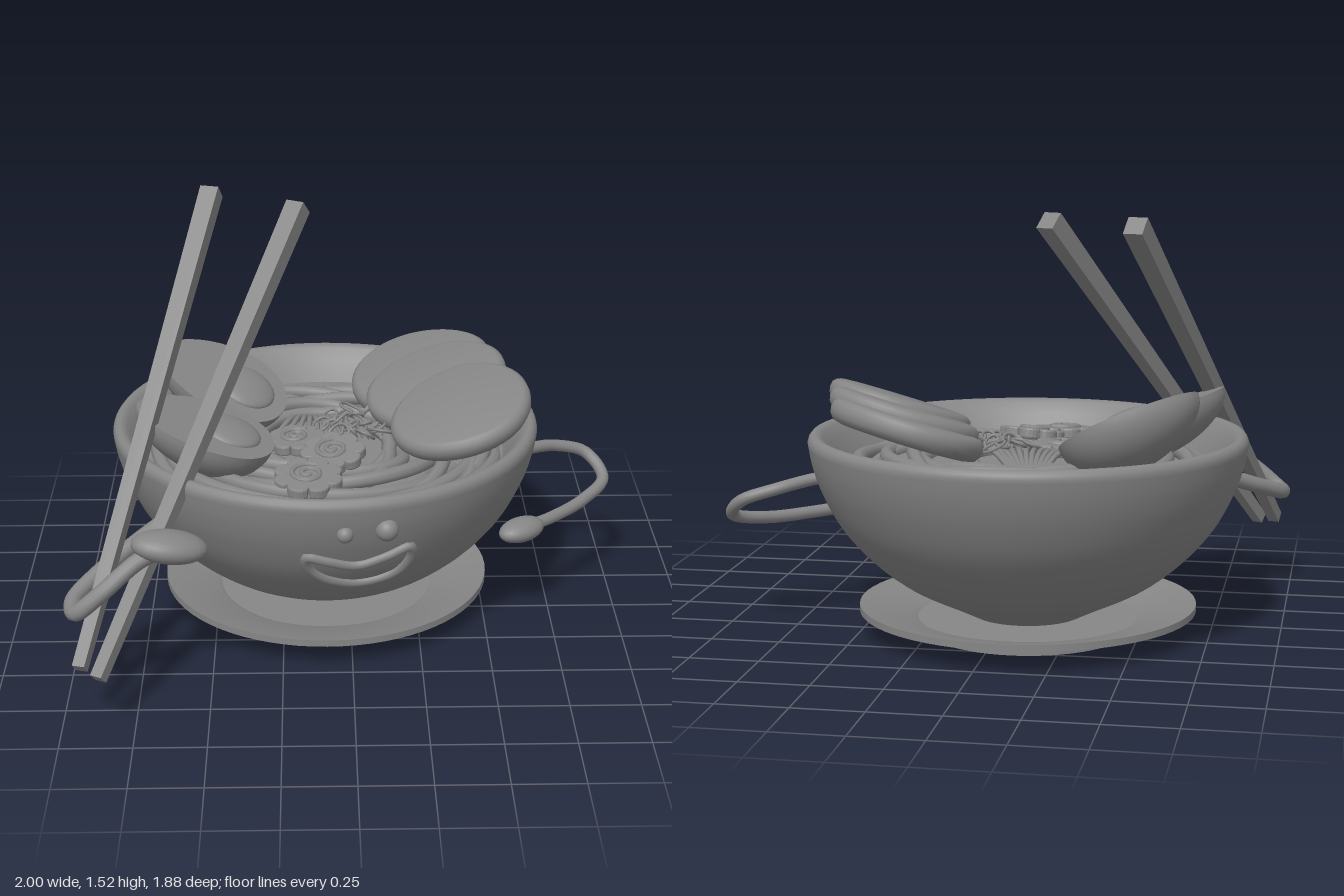
import * as THREE from 'three';
import { toCreasedNormals } from 'three/addons/utils/BufferGeometryUtils.js';

const V = (x, y, z) => new THREE.Vector3(x, y, z);
const UP = V(0, 1, 0);
const CX = -0.09, CZ = -0.155; // axis of the bowl and plate
const SOUP_Y = 0.6;

// Outer wall of the bowl, as [radius, height] from the foot to the rim
const WALL = [[0.2, 0.06], [0.28, 0.1], [0.44, 0.18], [0.57, 0.28], [0.675, 0.4],
  [0.74, 0.52], [0.775, 0.62], [0.79, 0.7]];
const wallPoints = new THREE.SplineCurve(WALL.map(p => new THREE.Vector2(...p))).getPoints(28);

function wallRadius(y) {
  const i = Math.max(1, wallPoints.findIndex(p => p.y >= y));
  const a = wallPoints[i - 1], b = wallPoints[i];
  return a.x + (b.x - a.x) * (y - a.y) / (b.y - a.y);
}

export function createModel() {
  const model = new THREE.Group();
  const grey = new THREE.MeshStandardMaterial({ color: 0x868686 });
  const thin = new THREE.MeshStandardMaterial({ color: 0x868686, side: THREE.DoubleSide });
  let seed = 7;
  const rand = (a, b) => {
    seed = (seed * 16807) % 2147483647;
    return a + (b - a) * seed / 2147483647;
  };

  function add(name, geometry, position, parent = model, material = grey) {
    const mesh = new THREE.Mesh(geometry, material);
    mesh.name = name;
    if (position) mesh.position.copy(position);
    parent.add(mesh);
    return mesh;
  }
  function group(name, position, parent = model) {
    const g = new THREE.Group();
    g.name = name;
    if (position) g.position.copy(position);
    parent.add(g);
    return g;
  }
  function tube(name, points, radius, parent, { closed = false, segments = 40, sides = 8 } = {}) {
    const curve = new THREE.CatmullRomCurve3(points, closed);
    return add(name, new THREE.TubeGeometry(curve, segments, radius, sides, closed), null, parent, thin);
  }
  const lathe = (pts, crease) =>
    toCreasedNormals(new THREE.LatheGeometry(pts.map(p => p.isVector2 ? p : new THREE.Vector2(...p)), 72), crease);

  // Plate with a flat foot and a shallow well
  add('plate', lathe([[0, 0], [0.375, 0], [0.375, 0.02], [0.61, 0.08], [0.61, 0.105],
    [0.42, 0.062], [0.4, 0.05], [0, 0.05]], 0.35), V(CX, 0, CZ));

  // Bowl: outer wall, softly rounded rim, sloping inner wall
  add('bowl', lathe([[0, 0.06], ...wallPoints, [0.786, 0.715], [0.777, 0.727], [0.765, 0.731], [0.752, 0.728],
    [0.738, 0.718], [0.71, 0.68], [0.68, 0.63], [0.64, 0.55], [0, 0.55]], 0.8), V(CX, 0, CZ));
  add('soup', new THREE.CircleGeometry(0.67, 64).rotateX(-Math.PI / 2), V(CX, SOUP_Y, CZ));

  // Noodles: long loose arcs swirling round the bowl
  const noodles = group('noodles', V(CX, 0, CZ));
  for (let i = 0; i < 24; i++) {
    const r0 = 0.635 - 0.4 * (i / 24), start = i * 2.4, sweep = rand(1.6, 3.4);
    const drift = rand(-0.13, 0.06), lift = rand(0.0, 0.04);
    const pts = [];
    for (let k = 0; k <= 8; k++) {
      const t = k / 8, a = start + sweep * t;
      const r = Math.min(0.635, r0 + drift * Math.sin(t * Math.PI * 1.5));
      pts.push(V(r * Math.cos(a), SOUP_Y - 0.02 + (lift + 0.025) * Math.sin(t * Math.PI), r * Math.sin(a)));
    }
    tube('noodle', pts, 0.027, noodles, { segments: 36, sides: 8 });
  }

  // Fan of thin shoots in the middle
  const shoots = group('shoots');
  for (let i = 0; i < 11; i++) {
    const s = (i - 5) / 5;
    tube('shoot', [V(-0.13 + 0.05 * s, 0.62, -0.4), V(-0.1 + 0.12 * s, 0.67, -0.26),
      V(-0.08 + 0.2 * s, 0.65, -0.08 - 0.05 * Math.abs(s))], 0.011, shoots, { segments: 12, sides: 6 });
  }

  // Scallion rings tumbled over the shoots
  const scallions = group('scallions');
  for (let i = 0; i < 18; i++) {
    const a = i * 2.4, r = 0.135 * Math.sqrt(i / 18);
    const ring = add('scallionRing', new THREE.TorusGeometry(rand(0.032, 0.05), 0.006, 6, 18),
      V(0.025 + r * Math.cos(a), rand(0.675, 0.7), -0.18 + r * Math.sin(a)), scallions);
    ring.rotation.set(Math.PI / 2 + rand(-0.8, 0.8), rand(-0.8, 0.8), 0);
    ring.scale.x = rand(0.65, 1);
  }

  // Egg halves: narrow at -x, cut face up, leaning toward the middle
  const eggRule = (geo) => {
    const p = geo.attributes.position;
    for (let i = 0; i < p.count; i++) {
      const x = p.getX(i), taper = 1 + 0.16 * x;
      p.setXYZ(i, x * 0.262, p.getY(i) * 0.17 * taper, p.getZ(i) * 0.208 * taper);
    }
    geo.computeVertexNormals();
    return geo;
  };
  for (const [x, y, z, tiltX, turn, tiltZ] of [[-0.475, 0.805, -0.35, 0.25, -0.12, -0.42],
    [-0.525, 0.785, 0.065, 0.08, 0.08, -0.34]]) {
    const egg = group('eggHalf', V(x, y, z));
    egg.rotation.set(tiltX, turn, tiltZ);
    add('eggWhite', eggRule(new THREE.SphereGeometry(1, 36, 14, 0, Math.PI * 2, Math.PI / 2, Math.PI / 2)), null, egg);
    add('eggFace', eggRule(new THREE.CircleGeometry(1, 36).rotateX(-Math.PI / 2)), null, egg);
    const yolk = add('yolk', new THREE.SphereGeometry(0.115, 28, 18), V(0.095, 0, 0), egg);
    yolk.scale.y = 0.28;
  }

  // Meat slices: thick round-edged discs, each resting on the one behind
  const sliceProfile = [[0, -0.042], [0.225, -0.042], [0.25, -0.035], [0.264, -0.016], [0.268, 0.005],
    [0.264, 0.026], [0.25, 0.038], [0.238, 0.042], [0, 0.042]];
  const slices = group('meatSlices');
  [[0.28, 0.772, -0.475], [0.335, 0.785, -0.285], [0.412, 0.782, -0.045]].forEach(([x, y, z], i) => {
    const geo = new THREE.LatheGeometry(sliceProfile.map(p => new THREE.Vector2(...p)), 48);
    const p = geo.attributes.position;
    for (let k = 0; k < p.count; k++) {
      const a = Math.atan2(p.getZ(k), p.getX(k));
      const f = 1 + 0.03 * Math.cos(2 * a + i) + 0.02 * Math.cos(3 * a + 2 * i);
      p.setXYZ(k, p.getX(k) * f, p.getY(k), p.getZ(k) * f);
    }
    const slice = add('meatSlice', toCreasedNormals(geo, 0.9), V(x, y, z), slices);
    slice.quaternion.setFromUnitVectors(UP, V(-0.28, 1, 0.19).normalize());
  });

  // Fish cakes: scalloped discs with a raised spiral
  const cakes = group('fishCakes');
  for (const [x, y, z, r, tx, tz] of [[-0.2, 0.665, -0.08, 0.11, 0.1, 0.1],
    [-0.065, 0.685, 0.09, 0.12, 0.2, 0.08], [-0.155, 0.665, 0.265, 0.128, 0.1, 0]]) {
    const cake = group('fishCake', V(x, y, z), cakes);
    cake.rotation.set(tx, x * 5, tz);
    const outline = [];
    for (let i = 0; i < 64; i++) {
      const a = i / 64 * Math.PI * 2, q = r * (0.7 + 0.24 * Math.sqrt(Math.abs(Math.sin(4 * a))));
      outline.push(new THREE.Vector2(q * Math.cos(a), q * Math.sin(a)));
    }
    add('cakeBody', new THREE.ExtrudeGeometry(new THREE.Shape(outline), {
      depth: 0.025, bevelThickness: 0.007, bevelSize: 0.007, bevelSegments: 2,
    }).rotateX(-Math.PI / 2), V(0, -0.02, 0), cake);
    const spiral = [];
    for (let i = 0; i <= 24; i++) {
      const a = i / 24 * Math.PI * 3.4, q = r * (0.08 + 0.46 * i / 24);
      spiral.push(V(q * Math.cos(a), 0.013, q * Math.sin(a)));
    }
    tube('cakeSpiral', spiral, 0.01, cake, { segments: 60, sides: 6 });
  }

  // Face, laid on the curve of the bowl
  const onBowl = (x, y) => V(x, y, CZ + Math.sqrt(wallRadius(y) ** 2 - (x - CX) ** 2));
  const face = group('face');
  add('rightEye', new THREE.SphereGeometry(0.03, 20, 14), onBowl(-0.03, 0.6), face);
  add('leftEye', new THREE.SphereGeometry(0.041, 20, 14), onBowl(0.115, 0.607), face);
  tube('mouth', [[-0.163, 0.495], [-0.1, 0.48], [0.01, 0.452], [0.12, 0.485], [0.195, 0.515], [0.205, 0.475],
    [0.15, 0.39], [0.02, 0.35], [-0.1, 0.385], [-0.16, 0.445]].map(p => onBowl(...p)), 0.02, face,
  { closed: true, segments: 70 });

  // Arms with egg-shaped hands
  function arm(name, points, radius, hand, size, along) {
    const g = group(name);
    tube('armTube', points.map(p => V(...p)), radius, g, { segments: 48, sides: 12 });
    const h = add('hand', new THREE.SphereGeometry(1, 24, 16), V(...hand), g);
    h.scale.set(...size);
    h.quaternion.setFromUnitVectors(V(1, 0, 0), V(...along).normalize());
  }
  arm('leftArm', [[0.6, 0.555, -0.21], [0.68, 0.545, -0.25], [0.8, 0.52, -0.335], [0.92, 0.48, -0.36], [0.98, 0.41, -0.28],
    [0.89, 0.375, -0.15], [0.75, 0.37, 0], [0.66, 0.375, 0.08]], 0.023,
  [0.63, 0.375, 0.11], [0.1, 0.043, 0.06], [-0.75, 0, 0.6]);
  arm('rightArm', [[-0.64, 0.53, 0.29], [-0.76, 0.48, 0.4], [-0.89, 0.42, 0.53], [-0.965, 0.38, 0.65], [-0.95, 0.375, 0.74],
    [-0.86, 0.45, 0.745], [-0.74, 0.54, 0.69], [-0.66, 0.57, 0.65]], 0.03,
  [-0.63, 0.575, 0.642], [0.135, 0.055, 0.085], [1, -0.2, -0.25]);

  // Chopsticks: square and tapered, one pair of sides kept level
  const sticks = group('chopsticks');
  for (const [top, tip] of [[V(-0.51, 1.495, -0.505), V(-0.93, 0.23, 0.865)], [V(-0.185, 1.495, -0.305), V(-0.865, 0.215, 0.91)]]) {
    const dir = top.clone().sub(tip);
    const geo = new THREE.CylinderGeometry(0.05, 0.031, dir.length(), 4).rotateY(Math.PI / 4);
    const stick = add('chopstick', toCreasedNormals(geo, 0.5), top.clone().add(tip).multiplyScalar(0.5), sticks);
    dir.normalize();
    const level = V(-dir.z, 0, dir.x).normalize();
    stick.quaternion.setFromRotationMatrix(new THREE.Matrix4().makeBasis(level, dir, level.clone().cross(dir)));
  }
  return model;
}
